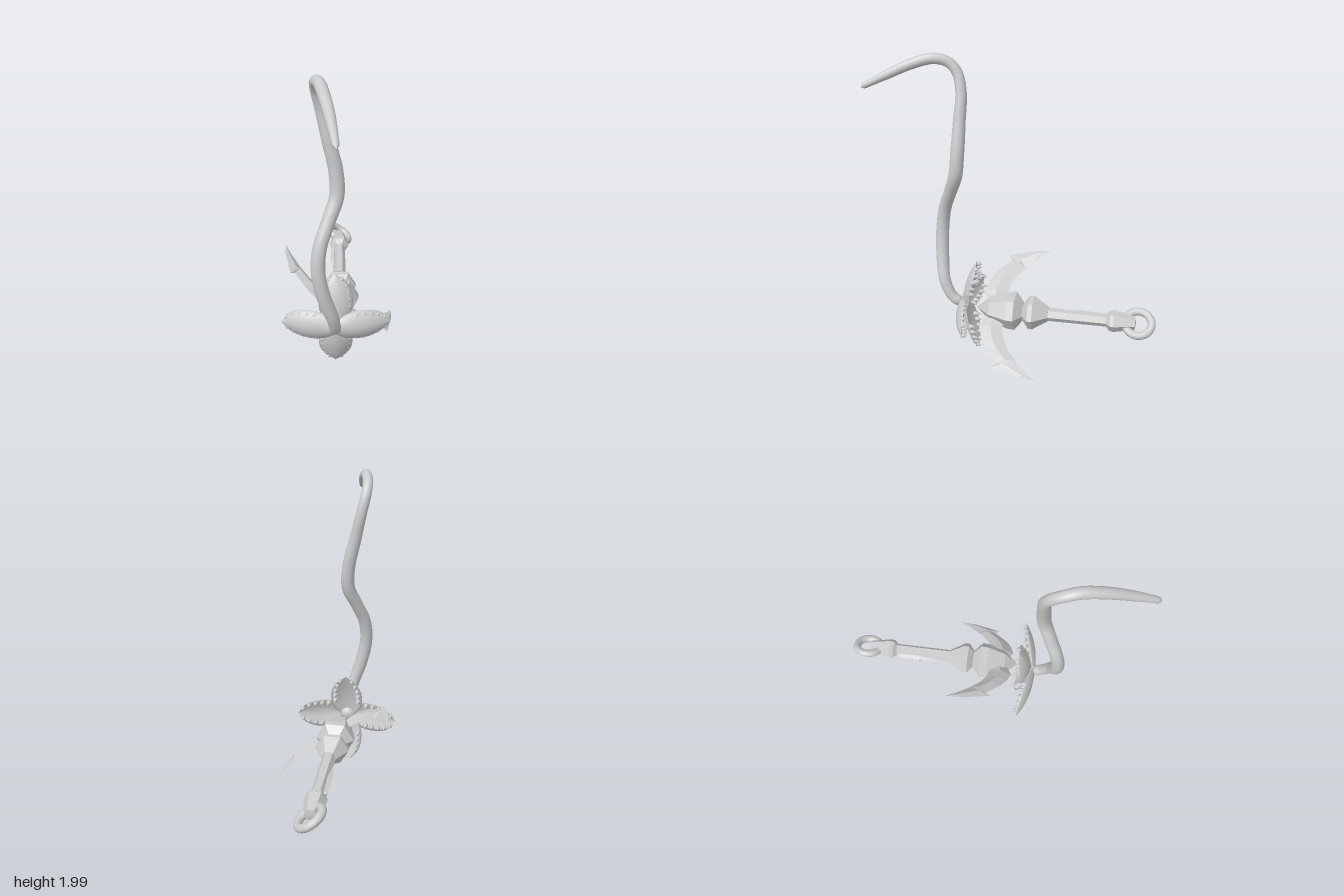
import * as THREE from 'three';

const smooth = new THREE.MeshStandardMaterial({ color: 0xcccccc });
const flat = new THREE.MeshStandardMaterial({ color: 0xcccccc, flatShading: true });

function mesh(name, geometry, material, parent) {
  const m = new THREE.Mesh(geometry, material);
  m.name = name;
  parent.add(m);
  return m;
}

// Skin over closed cross-sections (each turning right-handed about the path)
function loft(rings) {
  const n = rings[0].length, index = [];
  for (let i = 0; i < rings.length - 1; i++) {
    for (let j = 0; j < n; j++) {
      const a = i * n + j, b = i * n + (j + 1) % n;
      index.push(a, b, a + n, b, b + n, a + n);
    }
  }
  const g = new THREE.BufferGeometry().setFromPoints(rings.flat());
  g.setIndex(index);
  g.computeVertexNormals();
  return g;
}

// Smooth curve through evenly spaced values
function sampler(values) {
  const c = new THREE.SplineCurve(values.map((v, i) => new THREE.Vector2(i, v)));
  return t => Math.max(0, c.getPoint(t).y);
}

// Long tapering stem with a hooked end
function stemGeometry() {
  const curve = new THREE.CatmullRomCurve3([
    [-0.03, 0.345, 0.345], [-0.03, 0.39, 0.41], [-0.043, 0.5, 0.463], [-0.097, 0.68, 0.487],
    [-0.127, 0.85, 0.487], [-0.115, 1.0, 0.462], [-0.062, 1.15, 0.405], [-0.02, 1.27, 0.36],
    [-0.025, 1.42, 0.343], [-0.065, 1.6, 0.335], [-0.105, 1.78, 0.328], [-0.128, 1.89, 0.355],
    [-0.128, 1.948, 0.41], [-0.108, 1.968, 0.49], [-0.08, 1.94, 0.61], [-0.047, 1.87, 0.77],
    [-0.022, 1.797, 0.92]
  ].map(p => new THREE.Vector3(...p)));
  const N = 120, frames = curve.computeFrenetFrames(N, false);
  const radius = sampler([0.034, 0.039, 0.043, 0.042, 0.04, 0.043, 0.041, 0.036, 0.032, 0.033, 0.029, 0.018]);
  const rings = [];
  for (let i = 0; i <= N; i++) {
    const t = i / N, p = curve.getPointAt(t);
    const end = Math.min(1, Math.min(t, 1 - t) * 60);
    const r = radius(t) * Math.sqrt(1 - (1 - end) ** 2);
    rings.push(Array.from({ length: 14 }, (_, j) => {
      const a = j / 14 * Math.PI * 2;
      return p.clone().addScaledVector(frames.normals[i], r * Math.cos(a))
        .addScaledVector(frames.binormals[i], r * Math.sin(a));
    }));
  }
  return loft(rings);
}

// Cupped petal: runs along +x, domed on +z, hollow on -z
const LENGTH = 0.343;
const halfWidth = sampler([0.045, 0.078, 0.097, 0.106, 0.107, 0.102, 0.087, 0.058, 0]);
const domeZ = u => -0.095 * u ** 2.4;
const rimDrop = u => 0.05 * halfWidth(u) / 0.105;
const wall = (u, v) => 0.02 * (1 - v ** 4) * halfWidth(u) / 0.105;
const hollowZ = (u, v) => domeZ(u) - rimDrop(u) * v * v - wall(u, v);

function petalGeometry() {
  const N = 28, M = 12, rings = [];
  for (let i = 0; i <= N; i++) {
    const u = i / N, w = halfWidth(u), ring = [];
    for (let j = 0; j < 2 * M; j++) {
      const front = j <= M;
      const v = front ? 1 - 2 * j / M : -1 + 2 * (j - M) / M;
      const z = front ? domeZ(u) - rimDrop(u) * v * v : hollowZ(u, v);
      ring.push(new THREE.Vector3(u * LENGTH, v * w, z));
    }
    rings.push(ring);
  }
  return loft(rings);
}

function buildFlower() {
  const flower = new THREE.Group();
  flower.name = 'flower';
  flower.position.set(-0.028, 0.342, 0);
  const petalGeo = petalGeometry();
  // Plump pointed tooth, tip toward -z
  const toothGeo = new THREE.LatheGeometry(
    [[0, -0.015], [0.017, -0.01], [0.019, 0.004], [0.013, 0.024], [0, 0.046]].map(p => new THREE.Vector2(...p)), 8
  ).rotateX(-Math.PI / 2);
  for (let k = 0; k < 4; k++) {
    const petal = new THREE.Group();
    petal.name = 'toothedPetal';
    petal.rotation.z = k * Math.PI / 2;
    petal.position.z = k % 2 ? 0.335 : 0.366;
    petal.scale.x = k % 2 ? 0.968 : 1;
    flower.add(petal);
    mesh('petal', petalGeo, smooth, petal);
    // Teeth lining both rims
    for (const side of [-1, 1]) {
      for (const u of [0.38, 0.51, 0.64, 0.77, 0.89]) {
        const tooth = mesh('tooth', toothGeo, smooth, petal);
        tooth.scale.setScalar(1.15 - 0.5 * u);
        tooth.position.set(u * LENGTH, side * halfWidth(u) * 0.74, hollowZ(u, 0.74));
      }
    }
  }
  const hub = mesh('flowerHub', new THREE.SphereGeometry(0.05, 16, 12), smooth, flower);
  hub.scale.z = 0.7;
  hub.position.z = 0.325;
  return flower;
}

// Barbed blade with a low ridge: outer x, outer z, inner x, inner z, half thickness
function bladeGeometry() {
  return loft([
    [0.03, 0.16, 0.03, 0.04, 0.026], [0.13, 0.205, 0.13, 0.05, 0.026], [0.165, 0.19, 0.16, 0.042, 0.025],
    [0.2, 0.182, 0.2, 0.03, 0.024], [0.27, 0.14, 0.25, 0.003, 0.022], [0.36, 0.05, 0.31, -0.045, 0.019],
    [0.39, 0.08, 0.34, -0.075, 0.016], [0.443, -0.1, 0.405, -0.145, 0.009], [0.449, -0.212, 0.449, -0.212, 0]
  ].map(([ox, oz, ix, iz, t]) => {
    const mx = (ox + ix) / 2, mz = (oz + iz) / 2;
    return [[mx, t, mz], [ox, 0, oz], [mx, -t, mz], [ix, 0, iz]].map(p => new THREE.Vector3(...p));
  }));
}

// Faceted solid along z from [radius, z] pairs, z rising
const faceted = (profile, sides) => new THREE.LatheGeometry(
  profile.map(([r, z]) => new THREE.Vector2(r, z)), sides, 0.118).rotateX(Math.PI / 2);

function buildAnchor() {
  const anchor = new THREE.Group();
  anchor.name = 'anchor';
  anchor.position.y = 0.345;
  anchor.rotation.z = -0.642;

  mesh('crown', faceted([[0, -0.072], [0.065, -0.07], [0.126, -0.02], [0.122, 0.03], [0.08, 0.15], [0, 0.238]], 6), flat, anchor);
  mesh('collar', faceted([[0, -0.24], [0.048, -0.238], [0.11, -0.14], [0.108, -0.11], [0.06, -0.073], [0.05, -0.06]], 6), flat, anchor);
  mesh('shank', faceted([[0, -0.64], [0.041, -0.64], [0.044, -0.22], [0, -0.22]], 6), flat, anchor);
  mesh('shankEnd', faceted([[0, -0.805], [0.042, -0.8], [0.071, -0.665], [0.066, -0.64], [0.04, -0.615], [0, -0.615]], 6), flat, anchor);

  const blade = bladeGeometry();
  for (const turn of [0, Math.PI]) mesh('barbedBlade', blade, flat, anchor).rotation.z = turn;

  // Thin strip lying along the shank
  const strip = mesh('shankStrip', faceted([[0, -0.62], [0.017, -0.6], [0.022, -0.45], [0, -0.3]], 4), flat, anchor);
  strip.position.set(-0.036, -0.025, 0);

  const ring = mesh('ring', new THREE.TorusGeometry(0.084, 0.026, 12, 32).rotateX(Math.PI / 2), smooth, anchor);
  ring.position.z = -0.82;
  ring.rotation.z = 0.06;
  return anchor;
}

export function createModel() {
  const model = new THREE.Group();
  model.name = 'flowerAnchor';
  mesh('stem', stemGeometry(), smooth, model);
  model.add(buildFlower(), buildAnchor());
  return model;
}
